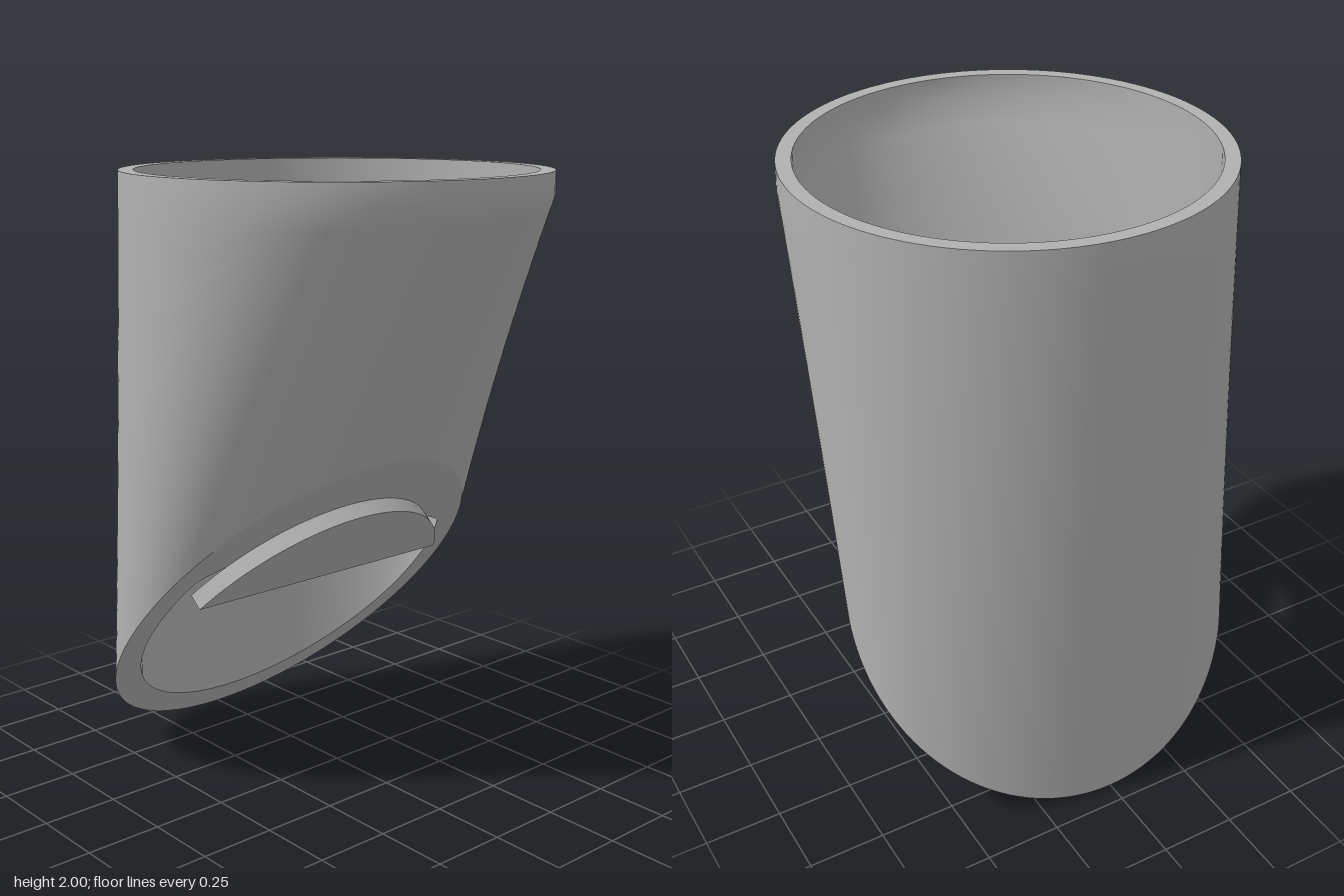
import * as THREE from 'three';

const SEG = 128, ROWS = 14;
const RISE = 1.09, RUN = 0.91, BACK = -0.68; // slanted mouth plane, starting at the back foot

// closed loop of points around the tube
function loop(fn) {
  return Array.from({ length: SEG }, (_, j) => fn((j / SEG) * Math.PI * 2));
}
const circle = (r, y) => loop(t => new THREE.Vector3(r * Math.cos(t), y, r * Math.sin(t)));
const onMouth = (x, y) => new THREE.Vector3(x, y, BACK + (y * RUN) / RISE);

// straight rulings between two loops
function blend(a, b) {
  return Array.from({ length: ROWS + 1 }, (_, i) =>
    a.map((p, j) => p.clone().lerp(b[j], i / ROWS)));
}

// skin a list of loops
function skin(loops, name, material) {
  const pos = [], index = [];
  loops.forEach(l => l.forEach(p => pos.push(p.x, p.y, p.z)));
  for (let i = 0; i < loops.length - 1; i++) {
    for (let j = 0; j < SEG; j++) {
      const k = (j + 1) % SEG;
      const a = i * SEG + j, b = i * SEG + k, c = a + SEG, d = b + SEG;
      index.push(a, b, c, b, d, c);
    }
  }
  const geo = new THREE.BufferGeometry();
  geo.setAttribute('position', new THREE.Float32BufferAttribute(pos, 3));
  geo.setIndex(index);
  geo.computeVertexNormals();
  const mesh = new THREE.Mesh(geo, material);
  mesh.name = name;
  return mesh;
}

export function createModel() {
  const grey = new THREE.MeshStandardMaterial({ color: 0xb0b0b0 });
  grey.name = 'plain grey';
  const model = new THREE.Group();
  model.name = 'slantedTube';

  // section loops
  const outerTop = circle(0.677, 2), outerCollar = circle(0.68, 1.93);
  const innerTop = circle(0.63, 2), innerCollar = circle(0.63, 1.93);
  const outerMouth = loop(t => onMouth(0.68 * Math.cos(t), 0.545 + 0.545 * Math.sin(t)));
  const innerMouth = loop(t => {
    const x = 0.59 * Math.cos(t), y = 0.545 + 0.455 * Math.sin(t);
    // the upper part of the opening is filled in with a shallow arch
    return onMouth(x, y > 0.745 ? Math.min(y, 0.745 + 0.115 * (1 - (x / 0.53) ** 2)) : y);
  });

  // walls and rims
  model.add(
    skin([outerTop, ...blend(outerCollar, outerMouth)], 'outerWall', grey),
    skin([innerTop, ...blend(innerCollar, innerMouth)].reverse(), 'innerWall', grey),
    skin([innerTop, outerTop], 'topRim', grey),
    skin([outerMouth, innerMouth], 'mouthRim', grey),
  );

  // segment-shaped lip plate lying on the mouth
  const r = 0.573, centre = 0.651, start = Math.asin(0.241 / r);
  const segment = new THREE.Shape();
  segment.absarc(0, centre, r, start, Math.PI - start, false);
  segment.closePath();
  const plate = new THREE.Mesh(
    new THREE.ExtrudeGeometry(segment, { depth: 0.057, bevelEnabled: false, curveSegments: 48 }), grey);
  plate.name = 'lipPlate';
  plate.rotation.x = Math.atan2(RUN, RISE);
  plate.position.z = BACK;
  model.add(plate);

  return model;
}
